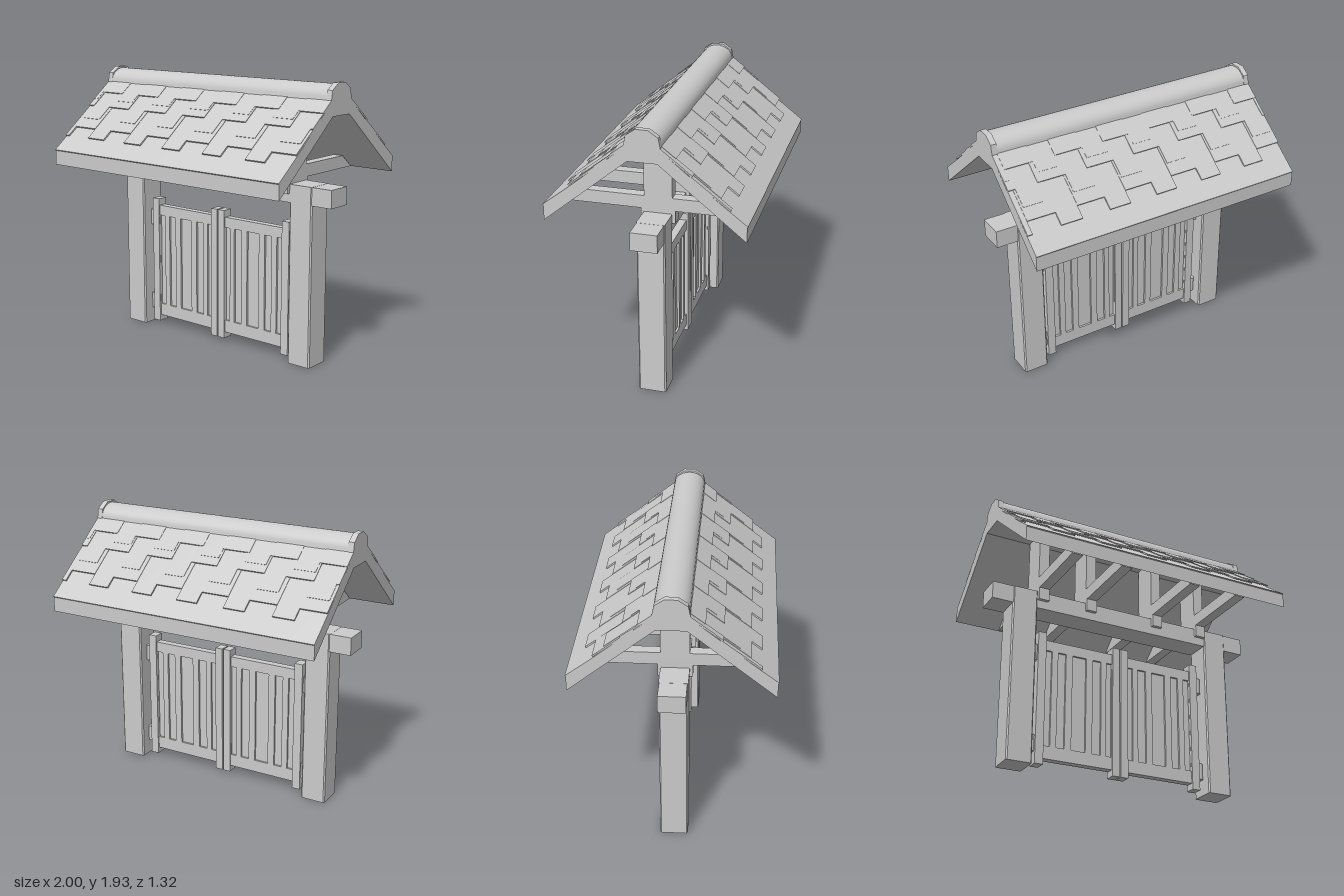
import * as THREE from 'three';
import { toCreasedNormals } from 'three/addons/utils/BufferGeometryUtils.js';

const material = new THREE.MeshStandardMaterial({ color: 0xcccccc });

function add(parent, name, geometry, x = 0, y = 0, z = 0) {
  const mesh = new THREE.Mesh(geometry, material);
  mesh.name = name;
  mesh.position.set(x, y, z);
  parent.add(mesh);
  return mesh;
}

// Box given by its limits on each axis
function block(parent, name, x0, x1, y0, y1, z0, z1) {
  return add(parent, name, new THREE.BoxGeometry(x1 - x0, y1 - y0, z1 - z0),
    (x0 + x1) / 2, (y0 + y1) / 2, (z0 + z1) / 2);
}

const shapeOf = (points) => new THREE.Shape(points.map(([a, b]) => new THREE.Vector2(a, b)));
const extrude = (shape, depth) => new THREE.ExtrudeGeometry(shape, { depth, bevelEnabled: false });

// Extrude a [z, y] profile along x, centred on x = 0
function alongX(points, length) {
  const g = extrude(shapeOf(points.map(([z, y]) => [-z, y])), length);
  return g.translate(0, 0, -length / 2).rotateY(Math.PI / 2);
}

// Complete a right-hand profile by mirroring it in z
const mirrored = (half) => [...half, ...half.map(([z, y]) => [-z, y]).reverse()];

// Square post with narrow chamfers on its upright edges
function postGeometry(w, d, h, c) {
  const a = w / 2, b = d / 2;
  const outline = [[a, c - b], [a, b - c], [a - c, b], [c - a, b], [-a, b - c], [-a, c - b], [c - a, -b], [a - c, -b]];
  return extrude(shapeOf(outline), h).rotateX(-Math.PI / 2);
}

// Gate leaf, built on the +x side
function buildLeaf() {
  const leaf = new THREE.Group();
  block(leaf, 'hingeStile', 0.57, 0.63, 0.025, 0.975, -0.04, 0.04);
  block(leaf, 'meetingStile', 0.005, 0.06, 0.025, 0.975, -0.04, 0.04);
  const board = shapeOf([[0.055, 0.07], [0.575, 0.07], [0.575, 0.925], [0.055, 0.925]]);
  for (const [a, b] of [[0.062, 0.105], [0.145, 0.21], [0.26, 0.365], [0.415, 0.475], [0.52, 0.569]]) {
    board.holes.push(shapeOf([[a, 0.16], [a, 0.85], [b, 0.85], [b, 0.16]]));
  }
  add(leaf, 'slottedBoard', extrude(board, 0.056), 0, 0, -0.028);
  block(leaf, 'recessedPanel', 0.058, 0.572, 0.1, 0.9, -0.013, 0.013);
  for (const y of [0.17, 0.825]) {
    add(leaf, 'hinge', new THREE.CylinderGeometry(0.028, 0.028, 0.115, 16), 0.647, y, 0);
  }
  return leaf;
}

// Staggered shingles on the +z slope
function buildShingles() {
  const group = new THREE.Group();
  group.name = 'shingles';
  const slope = 0.813, angle = Math.atan(slope), period = 0.355;
  // lower edge of long tiles, lower edge of short tiles, sideways shift
  const courses = [[0.655, 0.655, 0], [0.55, 0.48, 0], [0.41, 0.31, 0.17], [0.26, 0.2, 0]];
  courses.forEach(([zLong, zShort, shift], row) => {
    for (let i = -1; i < 7; i++) {
      for (const [offset, width, zLow] of [[0, 0.155, zLong], [0.155, 0.2, zShort]]) {
        const start = -0.765 + i * period + shift + offset - 0.355;
        const x0 = Math.max(start, -1), x1 = Math.min(start + width, 1);
        if (x1 - x0 < 0.005) continue;
        const zHigh = Math.max(zLow - 0.25, 0.1);
        const length = (zLow - zHigh) / Math.cos(angle);
        const g = new THREE.BoxGeometry(x1 - x0, 0.01, length);
        g.translate(0, 0.003, -length / 2).rotateX(angle - 0.03);
        add(group, 'shingle', g, (x0 + x1) / 2, 1.378 + slope * (0.655 - zLow) + (row ? 0.005 : -0.006), zLow);
      }
    }
  });
  return group;
}

export function createModel() {
  const model = new THREE.Group();
  model.name = 'coveredGate';

  // Posts and the long beam they carry
  for (const s of [-1, 1]) {
    add(model, 'post', postGeometry(0.18, 0.19, 1.25, 0.009), s * 0.76, 0, 0);
  }
  block(model, 'crossBeam', -1, 1, 1.125, 1.249, -0.09, 0.09);

  // Double gate, one leaf turned half round
  for (const turn of [0, Math.PI]) {
    const leaf = buildLeaf();
    leaf.name = turn ? 'rightGateLeaf' : 'leftGateLeaf';
    leaf.rotation.y = turn;
    model.add(leaf);
  }

  // Roof trusses: tie beam, notched saddle cheeks and king post
  for (const x of [-0.63, -0.265, 0.265, 0.63]) {
    const truss = new THREE.Group();
    truss.name = 'truss';
    truss.position.x = x;
    add(truss, 'tieBeam', alongX(mirrored([[0.645, 1.272], [0.535, 1.36]]), 0.076));
    block(truss, 'saddle', -0.038, 0.038, 1.185, 1.275, -0.115, 0.115);
    block(truss, 'kingPost', -0.038, 0.038, 1.355, 1.74, -0.095, 0.095);
    model.add(truss);
  }

  // Roof slabs joined in one folded section
  const roof = [[0.655, 1.27], [0.655, 1.375], [0, 1.905], [-0.655, 1.375], [-0.655, 1.27], [-0.095, 1.725], [0.095, 1.725]];
  add(model, 'roof', alongX(roof, 2));

  for (const turn of [0, Math.PI]) {
    const shingles = buildShingles();
    shingles.rotation.y = turn;
    model.add(shingles);
  }

  // Rounded ridge roll with faceted end caps
  const roll = [];
  for (let i = 0; i <= 16; i++) {
    const a = Math.PI * i / 16;
    roll.push([0.112 * Math.cos(a), 1.835 + 0.09 * Math.sin(a)]);
  }
  const ridge = [[0.12, 1.8], ...roll, [-0.12, 1.8]];
  add(model, 'ridgeRoll', toCreasedNormals(alongX(ridge, 1.95), 0.6));
  const cap = mirrored([[0.115, 1.8], [0.115, 1.83], [0.103, 1.892], [0.04, 1.935]]);
  for (const s of [-1, 1]) add(model, 'ridgeCap', alongX(cap, 0.04), s * 0.98, 0, 0);

  return model;
}
